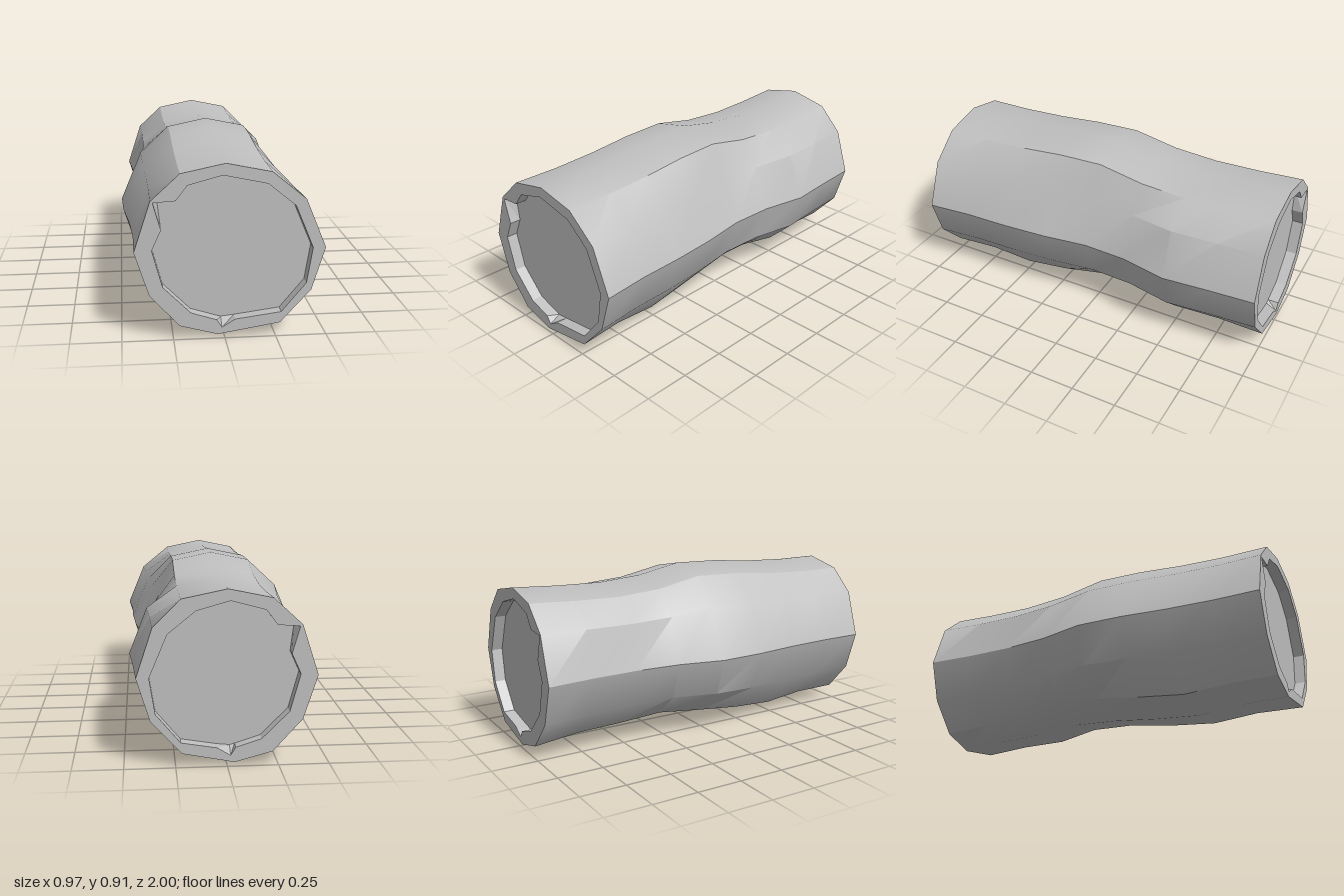
import * as THREE from 'three';
import { toCreasedNormals } from 'three/addons/utils/BufferGeometryUtils.js';

// Cross-section, clockwise from the top: x, y, share of the left/right shift, share of the top/bottom shift
const SECTION = [
  [0, 0.875, 0, 1], [0.22, 0.83, 0, 1], [0.355, 0.695, 0.6, 0], [0.435, 0.453, 1, 0],
  [0.37, 0.24, 1, 0], [0.22, 0.075, 1, 1], [-0.035, 0.025, 0, 1], [-0.22, 0.075, 0.8, 1],
  [-0.365, 0.235, 1, 0.3], [-0.435, 0.453, 1, 0], [-0.355, 0.7, 0.35, 0.55], [-0.215, 0.83, 0, 1],
];
// Stations along the log: z, left edge x, right edge x, top shift, bottom shift, dent of the upper right edge
const STATIONS = [
  [1, -0.435, 0.485, 0, 0, 0], [0.75, -0.435, 0.463, 0, 0, 0],
  [0.5, -0.45, 0.457, 0.012, -0.021, 0.01], [0.25, -0.478, 0.44, 0.035, 0, 0.02],
  [0, -0.487, 0.407, 0.043, 0.03, 0.035], [-0.25, -0.43, 0.418, -0.005, 0.045, 0.02],
  [-0.5, -0.41, 0.47, -0.022, 0.025, 0], [-0.75, -0.415, 0.45, -0.015, 0.02, 0],
  [-1, -0.435, 0.435, 0, 0, 0],
];
// Inner edge of the end rim, with two small notches; floor points differ only at the notches
const RIM = [
  [-0.013, 0.818], [0.15, 0.773], [0.285, 0.663], [0.373, 0.453], [0.345, 0.275], [0.225, 0.13],
  [0.05, 0.1], [-0.015, 0.06], [-0.04, 0.1], [-0.165, 0.14], [-0.3, 0.275], [-0.35, 0.46],
  [-0.305, 0.56], [-0.343, 0.693], [-0.235, 0.7], [-0.18, 0.773],
];
const FLOOR = RIM.map((p, i) => (i === 7 ? [-0.015, 0.093] : i === 13 ? [-0.32, 0.685] : p));
const DEPTH = 0.06;

function ring([z, left, right, top, bottom, dent]) {
  return SECTION.map(([x, y, sx, sy], i) => [
    x + sx * (x < 0 ? left + 0.435 : right - 0.435) - (i === 2 ? dent : 0),
    y + sy * (y > 0.45 ? top : bottom) - (i === 2 ? dent * 0.6 : 0),
    z,
  ]);
}

// Skin closed rings of equal length
function skin(rings, inward) {
  const n = rings[0].length;
  const index = [];
  for (let k = 0; k < rings.length - 1; k++) {
    for (let i = 0; i < n; i++) {
      const a = k * n + i, b = k * n + (i + 1) % n, c = a + n, d = b + n;
      index.push(...(inward ? [a, c, b, b, c, d] : [a, b, c, b, d, c]));
    }
  }
  const g = new THREE.BufferGeometry();
  g.setAttribute('position', new THREE.Float32BufferAttribute(rings.flat(2), 3));
  g.setIndex(index);
  return g;
}

const points = (list) => list.map(([x, y]) => new THREE.Vector2(x, y));

function createEnd(name, station, back, material) {
  const group = new THREE.Group();
  group.name = name;
  const shift = station[2] - 0.435;
  // The back end is mirrored here, then turned around
  const place = (list) => {
    const out = list.map(([x, y]) => [x > 0.1 ? x + shift : x, y]);
    return back ? out.map(([x, y]) => [-x, y]).reverse() : out;
  };
  const outer = ring(station).map(([x, y]) => [back ? -x : x, y]);
  const rim = place(RIM), floor = place(FLOOR);
  const add = (part, geometry) => {
    const mesh = new THREE.Mesh(geometry, material);
    mesh.name = part;
    group.add(mesh);
  };

  // Flat rim around the recess
  const face = new THREE.Shape(points(outer));
  face.holes.push(new THREE.Path(points(rim)));
  add('endRim', new THREE.ShapeGeometry(face).translate(0, 0, 1));

  // Recess wall
  const wall = skin([
    rim.map(([x, y]) => [x, y, 1]),
    floor.map(([x, y]) => [x, y, 1 - DEPTH]),
  ], true);
  add('recessWall', toCreasedNormals(wall, 0.1));

  // Recess floor
  add('recessFloor', new THREE.ShapeGeometry(new THREE.Shape(points(floor))).translate(0, 0, 1 - DEPTH));

  if (back) group.rotation.y = Math.PI;
  return group;
}

export function createModel() {
  const model = new THREE.Group();
  model.name = 'log';
  const grey = new THREE.MeshStandardMaterial({ color: 0xc0c0c0 });
  grey.name = 'lightGrey';

  // Uneven outer surface
  const bark = new THREE.Mesh(toCreasedNormals(skin(STATIONS.map(ring), false), Math.PI / 6), grey);
  bark.name = 'bark';
  model.add(bark);

  model.add(createEnd('frontEnd', STATIONS[0], false, grey));
  model.add(createEnd('backEnd', STATIONS[STATIONS.length - 1], true, grey));
  return model;
}
